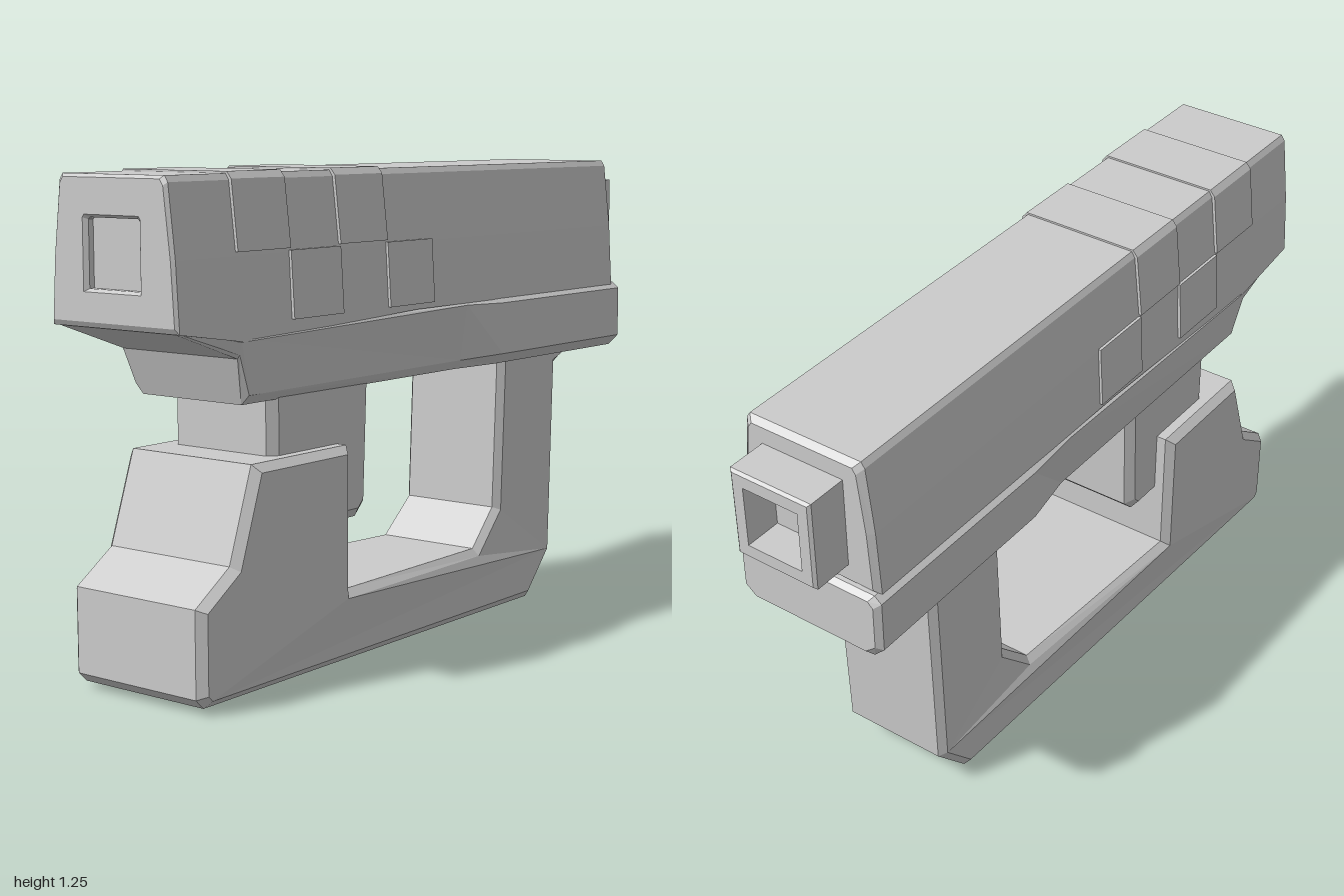
import * as THREE from 'three';

const material = new THREE.MeshStandardMaterial({ color: 0xcccccc, flatShading: true });

function makeMesh(name, geometry) {
  const mesh = new THREE.Mesh(geometry, material);
  mesh.name = name;
  return mesh;
}

// Cross-section at z: right-hand points from bottom to top, mirrored to the left
function ring(z, half) {
  const right = half.map(([x, y]) => new THREE.Vector3(x, y, z));
  const left = half.map(([x, y]) => new THREE.Vector3(-x, y, z)).reverse();
  return [...right, ...left];
}

// Skin over rings ordered from front to back, closed at both ends
function loft(rings) {
  const points = [];
  const n = rings[0].length;
  for (let k = 0; k + 1 < rings.length; k++) {
    const a = rings[k], b = rings[k + 1];
    for (let i = 0; i < n; i++) {
      const j = (i + 1) % n;
      points.push(a[i], b[i], a[j], b[i], b[j], a[j]);
    }
  }
  const first = rings[0], last = rings[rings.length - 1];
  for (let i = 1; i + 1 < n; i++) {
    points.push(first[0], first[i], first[i + 1], last[0], last[i + 1], last[i]);
  }
  const geometry = new THREE.BufferGeometry().setFromPoints(points);
  geometry.computeVertexNormals();
  return geometry;
}

// Side outline of [z, y] points, extruded across x with chamfered edges
function sidePlate(outline, halfWidth, chamferX, chamferEdge) {
  const shape = new THREE.Shape(outline.map(([z, y]) => new THREE.Vector2(z, y)));
  const depth = 2 * (halfWidth - chamferX);
  const geometry = new THREE.ExtrudeGeometry(shape, {
    depth, bevelEnabled: true, bevelSegments: 1,
    bevelThickness: chamferX, bevelSize: chamferEdge, bevelOffset: -chamferEdge,
  });
  return geometry.translate(0, 0, -depth / 2).rotateY(-Math.PI / 2);
}

// Narrow a geometry in x from full width at zWide to a fraction at zNarrow
function taper(geometry, zWide, zNarrow, fraction) {
  const position = geometry.attributes.position;
  for (let i = 0; i < position.count; i++) {
    const t = THREE.MathUtils.clamp((zWide - position.getZ(i)) / (zWide - zNarrow), 0, 1);
    position.setX(i, position.getX(i) * THREE.MathUtils.lerp(1, fraction, t));
  }
  geometry.computeVertexNormals();
  return geometry;
}

// Slide cross-section with a movable lower edge
const slideRing = (z, bottom, inset = 0) => ring(z, [
  [0.202 - inset, bottom + inset], [0.192 - inset, 1.06],
  [0.172 - inset, 1.235 - inset], [0.162 - inset, 1.25 - inset],
]);

export function createModel() {
  const model = new THREE.Group();
  model.name = 'blockyPistol';

  // Slide with a shallow square recess in its front face
  const recess = [[0.082, 0.985], [0.082, 1.07], [0.082, 1.145], [0.077, 1.15]];
  const recessLip = [[0.092, 0.978], [0.092, 1.07], [0.092, 1.15], [0.087, 1.157]];
  model.add(makeMesh('slide', loft([
    ring(0.975, recess), ring(0.99, recess), ring(1, recessLip),
    slideRing(1, 0.9, 0.008), slideRing(0.992, 0.895),
    slideRing(0.77, 0.86), slideRing(0.1, 0.885),
    slideRing(-0.87, 0.885), slideRing(-0.885, 0.885, 0.015),
  ])));

  // Raised grip panels in a checkerboard along the slide
  const upperPanel = [[0.199, 1.07], [0.18, 1.238], [0.166, 1.255]];
  const lowerPanel = [[0.209, 0.9], [0.199, 1.065]];
  for (const [z, section, name] of [
    [0.79, upperPanel, 'upperPanel'], [0.41, upperPanel, 'upperPanel'],
    [0.6, lowerPanel, 'lowerPanel'], [0.22, lowerPanel, 'lowerPanel'],
  ]) {
    model.add(makeMesh(name, loft([ring(z, section), ring(z - 0.19, section)])));
  }

  // Hollow square tube at the back
  const tube = [[0.118, 0.945], [0.118, 1.19]];
  const tubeRim = [[0.11, 0.952], [0.11, 1.183]];
  const bore = [[0.08, 0.985], [0.08, 1.15]];
  model.add(makeMesh('rearTube', loft([
    ring(-0.86, tube), ring(-0.993, tube), ring(-1, tubeRim),
    ring(-1, bore), ring(-0.9, bore),
  ])));

  // Frame: wedge nose, tapered middle, wider back
  const frameBack = [[0.185, 0.705], [0.215, 0.735], [0.215, 0.875], [0.195, 0.892]];
  model.add(makeMesh('frame', loft([
    ring(0.99, [[0.185, 0.895], [0.19, 0.898], [0.19, 0.902], [0.18, 0.91]]),
    ring(0.78, [[0.185, 0.82], [0.192, 0.83], [0.2, 0.86], [0.19, 0.88]]),
    ring(0.74, [[0.16, 0.705], [0.185, 0.73], [0.204, 0.862], [0.19, 0.88]]),
    ring(-0.12, [[0.165, 0.705], [0.185, 0.73], [0.207, 0.88], [0.19, 0.892]]),
    ring(-0.28, frameBack), ring(-0.89, frameBack),
    ring(-0.905, [[0.17, 0.72], [0.2, 0.745], [0.2, 0.865], [0.185, 0.88]]),
  ])));

  // Lower block, base bar and rear upright as one loop, narrowing to the rear
  const gripLoop = sidePlate([
    [0.92, 0.015], [0.945, 0.04], [0.945, 0.255], [0.825, 0.335], [0.745, 0.567],
    [0.385, 0.567], [0.385, 0.2], [-0.23, 0.19], [-0.335, 0.29], [-0.355, 0.72],
    [-0.73, 0.72], [-0.64, 0.67], [-0.62, 0.12], [-0.51, 0],
  ], 0.215, 0.022, 0.02);
  model.add(makeMesh('gripLoop', taper(gripLoop, 0.385, -0.34, 0.75)));

  // Post hanging from the frame into the lower block
  model.add(makeMesh('centrePost', sidePlate([
    [0.635, 0.74], [0.635, 0.365], [0.29, 0.365], [0.255, 0.4], [0.24, 0.74],
  ], 0.165, 0.02, 0.025)));

  return model;
}
